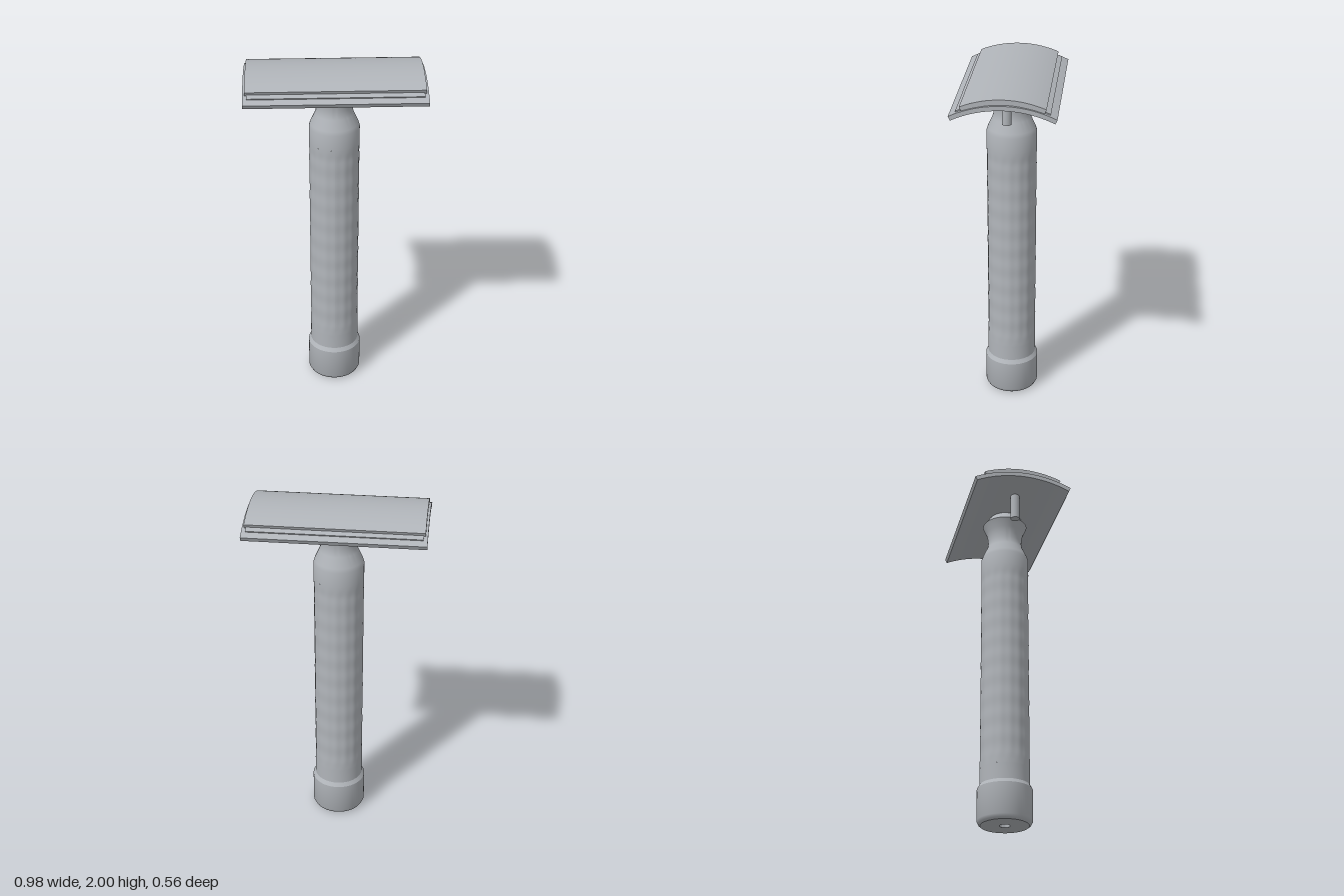
import * as THREE from 'three';
import { toCreasedNormals } from 'three/addons/utils/BufferGeometryUtils.js';

const steel = new THREE.MeshStandardMaterial({ color: 0xb0b4b9 });
steel.name = 'brushed steel';

function add(group, name, geometry) {
  const mesh = new THREE.Mesh(geometry, steel);
  mesh.name = name;
  group.add(mesh);
  return mesh;
}

// Plate bowed over the z axis: crown height, outer radius, thickness, half depth, half width
function bowedPlate(crown, radius, thickness, halfDepth, halfWidth) {
  const a = Math.asin(halfDepth / radius);
  const cy = crown - radius;
  const shape = new THREE.Shape();
  shape.absarc(0, cy, radius, Math.PI / 2 - a, Math.PI / 2 + a, false);
  shape.absarc(0, cy, radius - thickness, Math.PI / 2 + a, Math.PI / 2 - a, true);
  shape.closePath();
  const geo = new THREE.ExtrudeGeometry(shape, {
    depth: halfWidth * 2, bevelEnabled: false, curveSegments: 32,
  });
  geo.translate(0, 0, -halfWidth);
  geo.rotateY(Math.PI / 2);
  return toCreasedNormals(geo, 0.5);
}

function lathe(points, segments = 64) {
  const geo = new THREE.LatheGeometry(points.map(([r, y]) => new THREE.Vector2(r, y)), segments);
  return toCreasedNormals(geo, 0.5);
}

// Diamond-knurled sleeve, fading out at both ends
function knurledGrip(bottom, top, radius) {
  const geo = new THREE.CylinderGeometry(radius, radius, top - bottom, 128, 120, true);
  geo.translate(0, (top + bottom) / 2, 0);
  const pos = geo.attributes.position;
  for (let i = 0; i < pos.count; i++) {
    const x = pos.getX(i), y = pos.getY(i), z = pos.getZ(i);
    const angle = Math.atan2(x, z);
    const fade = THREE.MathUtils.smoothstep(y, bottom, bottom + 0.08)
      * (1 - THREE.MathUtils.smoothstep(y, top - 0.08, top));
    const wave = Math.cos(8 * angle + 26 * y) * Math.cos(8 * angle - 26 * y);
    const s = 1 - fade * 0.025 * (1 - wave) / 2;
    pos.setXYZ(i, x * s, y, z * s);
  }
  geo.computeVertexNormals();
  return geo;
}

export function createModel() {
  const model = new THREE.Group();
  model.name = 'safety razor';

  // Head: cap, blade and guard stacked
  const head = new THREE.Group();
  head.name = 'head';
  model.add(head);
  add(head, 'topCap', bowedPlate(2.0, 0.585, 0.028, 0.225, 0.48));
  add(head, 'blade', bowedPlate(1.977, 0.65, 0.007, 0.247, 0.47));
  add(head, 'guardPlate', bowedPlate(1.97, 0.65, 0.025, 0.282, 0.492));

  // Alignment pins under the guard
  for (const side of [-1, 1]) {
    const pin = add(head, side > 0 ? 'leftPin' : 'rightPin', new THREE.CylinderGeometry(0.026, 0.026, 0.16, 24));
    pin.position.set(side * 0.275, 1.87, 0);
  }

  // Handle
  const handle = new THREE.Group();
  handle.name = 'handle';
  model.add(handle);

  // Weighted end knob with a bored screw hole
  add(handle, 'endKnob', lathe([
    [0, 0.3], [0.03, 0.3], [0.03, 0], [0.136, 0], [0.146, 0.008], [0.155, 0.025],
    [0.155, 0.205], [0.141, 0.228], [0.141, 0.32],
  ]));
  add(handle, 'knurledGrip', knurledGrip(0.32, 1.56, 0.141));

  // Shoulder, narrow neck and flared collar
  add(handle, 'neck', lathe([
    [0.141, 1.56], [0.141, 1.65], [0.134, 1.672], [0.108, 1.73], [0.102, 1.75], [0.1, 1.775],
    [0.102, 1.805], [0.11, 1.84], [0.132, 1.888], [0.09, 1.945], [0, 1.945],
  ]));

  return model;
}
